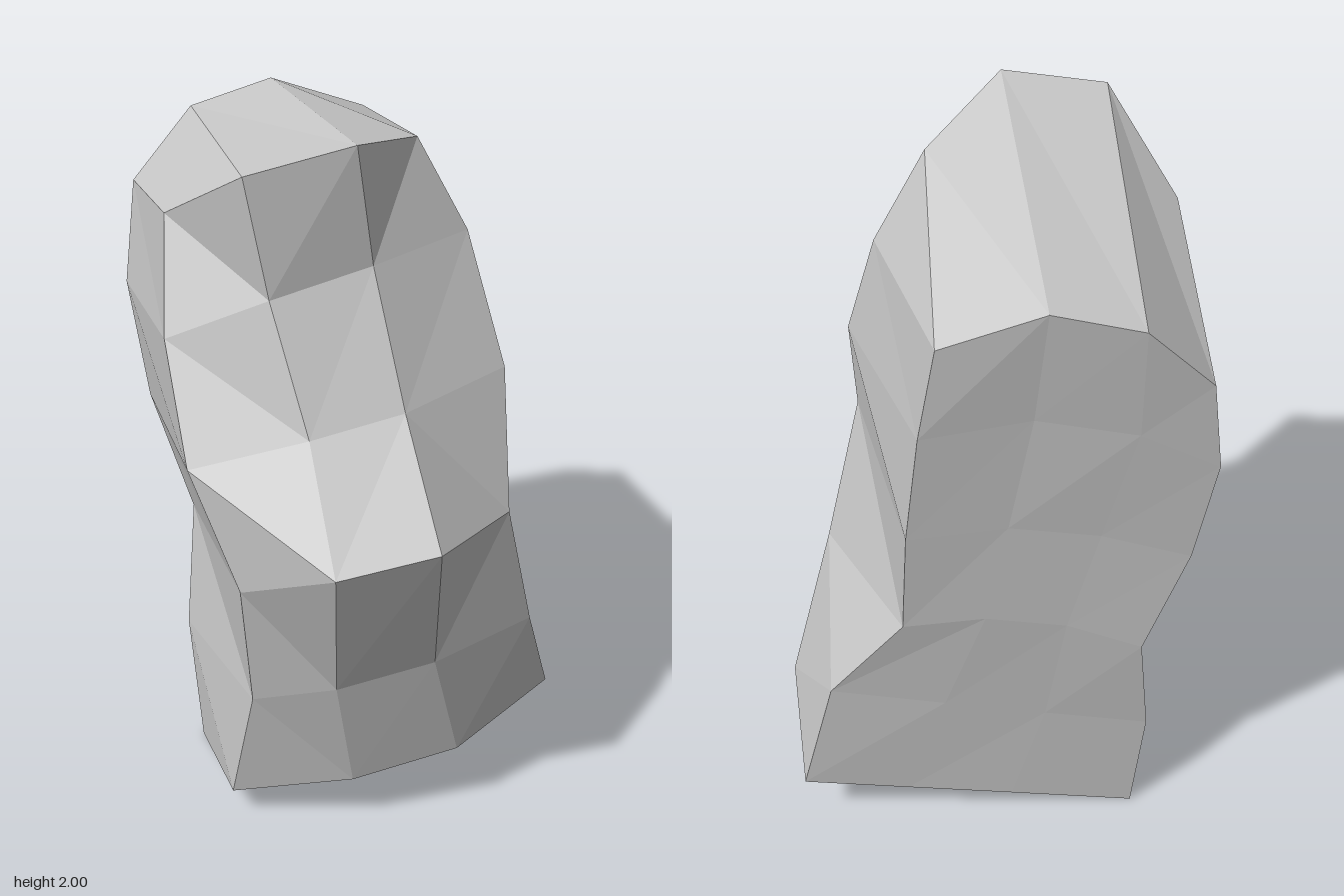
import * as THREE from 'three';

// Cross-sections from top to bottom; each row runs from -x to +x
const FRONT = [
  [[-0.5, 1.77, 0.05], [-0.36, 1.95, 0.33], [-0.09, 2.0, 0.325], [0.12, 1.92, 0.08]],
  [[-0.53, 1.49, 0.16], [-0.3, 1.63, 0.31], [-0.04, 1.68, 0.28], [0.25, 1.67, 0.09]],
  [[-0.51, 1.2, 0.3], [-0.23, 1.3, 0.41], [0.01, 1.34, 0.4], [0.32, 1.34, 0.21]],
  [[-0.4, 0.87, 0.36], [-0.21, 1.01, 0.59], [0.05, 1.05, 0.6], [0.3, 1.0, 0.35]],
  [[-0.36, 0.48, 0.27], [-0.16, 0.55, 0.38], [0.1, 0.6, 0.39], [0.4, 0.61, 0.26]],
  [[-0.4, 0.1, 0.15], [-0.09, 0.17, 0.27], [0.2, 0.23, 0.28], [0.52, 0.27, 0.08]],
];
const BACK = [
  [[-0.49, 1.63, -0.56], [-0.32, 1.81, -0.6], [-0.1, 1.87, -0.6], [0.15, 1.78, -0.58]],
  [[-0.53, 1.36, -0.51], [-0.33, 1.48, -0.53], [-0.08, 1.54, -0.53], [0.19, 1.51, -0.54]],
  [[-0.49, 1.04, -0.45], [-0.26, 1.13, -0.46], [-0.03, 1.18, -0.47], [0.22, 1.17, -0.48]],
  [[-0.39, 0.7, -0.4], [-0.19, 0.8, -0.41], [0.02, 0.85, -0.42], [0.23, 0.84, -0.42]],
  [[-0.43, 0.36, -0.33], [-0.15, 0.43, -0.34], [0.12, 0.5, -0.35], [0.42, 0.57, -0.35]],
  [[-0.41, 0, -0.27], [-0.07, 0.07, -0.28], [0.22, 0.12, -0.28], [0.505, 0.18, -0.29]],
];

export function createModel() {
  const positions = [];
  // Counter-clockwise quad, split along a-c
  const quad = (a, b, c, d) => positions.push(...a, ...b, ...c, ...a, ...c, ...d);
  const last = FRONT.length - 1;

  for (let r = 0; r < last; r++) {
    // Front and back faces
    for (let c = 0; c < 3; c++) {
      const [tl, tr] = [FRONT[r][c], FRONT[r][c + 1]];
      const [bl, br] = [FRONT[r + 1][c], FRONT[r + 1][c + 1]];
      const fallingSplit = c === 0 || (r === 2 && c === 2);
      if (fallingSplit) quad(tl, bl, br, tr);
      else quad(bl, br, tr, tl);
      quad(BACK[r][c], BACK[r][c + 1], BACK[r + 1][c + 1], BACK[r + 1][c]);
    }
    // Side walls
    quad(FRONT[r + 1][3], BACK[r + 1][3], BACK[r][3], FRONT[r][3]);
    quad(BACK[r][0], BACK[r + 1][0], FRONT[r + 1][0], FRONT[r][0]);
  }
  // Sloping top and slanted underside
  for (let c = 0; c < 3; c++) {
    quad(BACK[0][c], FRONT[0][c], FRONT[0][c + 1], BACK[0][c + 1]);
    quad(FRONT[last][c], BACK[last][c], BACK[last][c + 1], FRONT[last][c + 1]);
  }

  const geometry = new THREE.BufferGeometry();
  geometry.setAttribute('position', new THREE.Float32BufferAttribute(positions, 3));
  geometry.computeVertexNormals();
  const rock = new THREE.Mesh(geometry, new THREE.MeshStandardMaterial({ color: 0xcccccc, flatShading: true }));
  rock.name = 'rock';

  const group = new THREE.Group();
  group.name = 'rockPillar';
  group.add(rock);
  return group;
}
